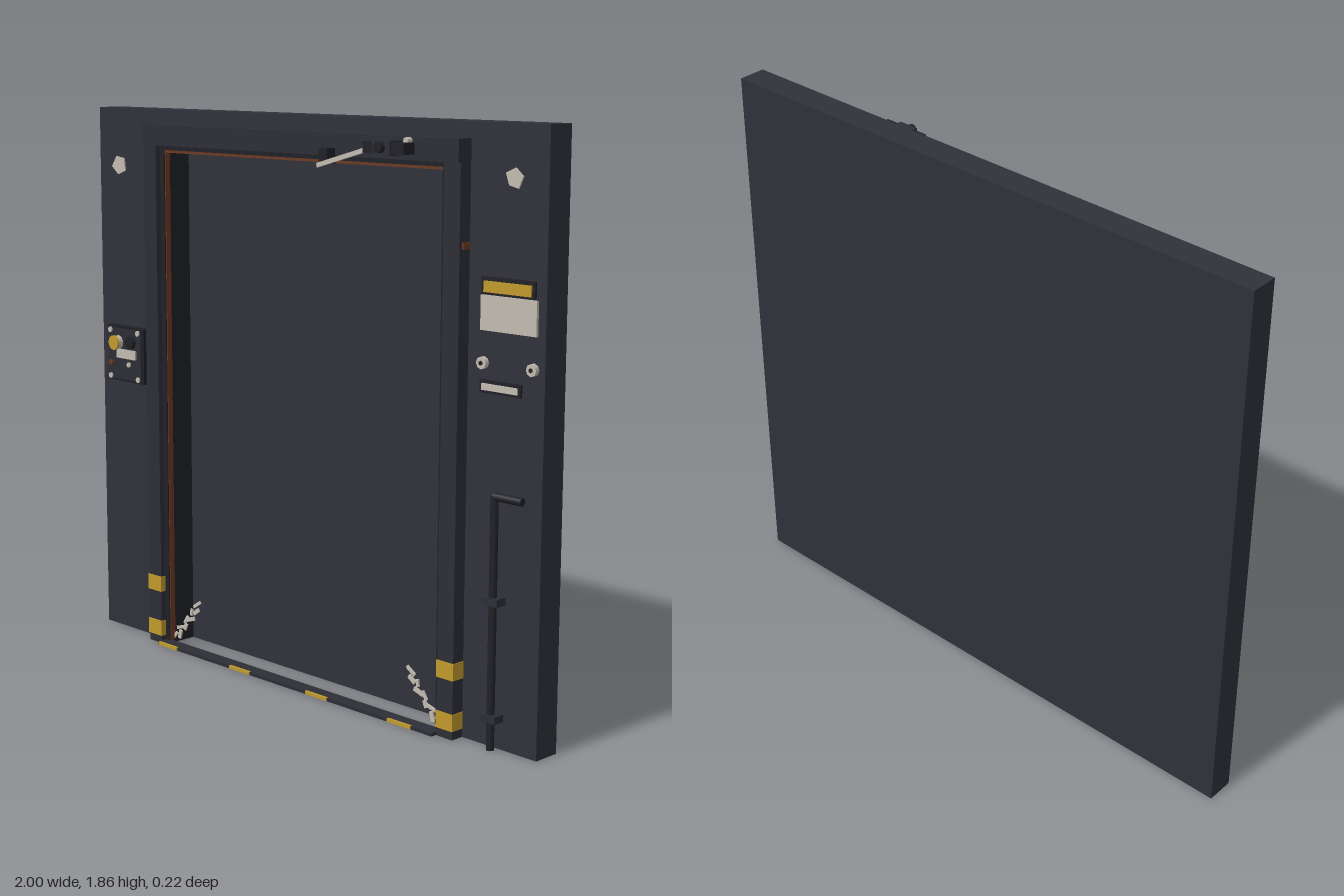
import * as THREE from 'three';

const mat = (name, color) => {
  const m = new THREE.MeshStandardMaterial({ color });
  m.name = name;
  return m;
};

export function createModel() {
  const root = new THREE.Group();
  root.name = 'doorwayWall';
  const wall = mat('wallCharcoal', 0x30313a);
  const steel = mat('frameSteel', 0x2d2e36);
  const dark = mat('darkMetal', 0x202127);
  const yellow = mat('warningYellow', 0xc09a2c);
  const pale = mat('paleGrey', 0xc2bbb0);
  const rust = mat('rustBrown', 0x6b3a22);

  const add = (name, geo, m, x = 0, y = 0, z = 0) => {
    const mesh = new THREE.Mesh(geo, m);
    mesh.name = name;
    mesh.position.set(x, y, z);
    root.add(mesh);
    return mesh;
  };
  // Box given by its limits on each axis
  const box = (name, m, x0, x1, y0, y1, z0, z1) =>
    add(name, new THREE.BoxGeometry(x1 - x0, y1 - y0, z1 - z0), m,
      (x0 + x1) / 2, (y0 + y1) / 2, (z0 + z1) / 2);
  // Disc or knob whose axis points forward
  const disc = (name, m, x, y, r, z0, z1, n = 16) =>
    add(name, new THREE.CylinderGeometry(r, r, z1 - z0, n).rotateX(Math.PI / 2), m, x, y, (z0 + z1) / 2);

  // Wall: side slabs, lintel and the thin panel closing the back
  const front = -0.015, back = -0.108, inner = -0.098;
  box('wallRight', wall, -1, -0.63, 0, 1.855, inner, front);
  box('wallLeft', wall, 0.63, 1, 0, 1.855, inner, front);
  box('wallLintel', wall, -0.63, 0.63, 1.735, 1.855, inner, front);
  box('backPanel', wall, -1, 1, 0, 1.855, back, inner);

  // Door frame, mirrored
  for (const s of [-1, 1]) {
    const side = (name, m, a, b, ...rest) => box(name, m, Math.min(s * a, s * b), Math.max(s * a, s * b), ...rest);
    side('framePost', steel, 0.647, 0.711, 0, 1.74, front, 0.03);
    side('innerJamb', dark, 0.626, 0.648, 0, 1.738, inner, 0.012);
    side('jambSeal', rust, 0.623, 0.626, 0.012, 1.72, -0.012, 0.008);
    for (const y of [0.027, 0.187])
      side('warningBand', yellow, 0.645, 0.713, y, y + 0.054, front, 0.033);
  }
  box('frameHeader', steel, -0.711, 0.711, 1.738, 1.807, front, 0.04);
  box('innerSoffit', dark, -0.647, 0.647, 1.722, 1.738, inner, 0.012);
  box('soffitSeal', rust, -0.64, 0.64, 1.713, 1.722, -0.012, 0.008);
  box('rustSpot', rust, 0.709, 0.717, 1.488, 1.508, -0.01, 0.02);

  // Sill with yellow dashes along its front edge
  box('sill', steel, -0.645, 0.645, 0, 0.011, 0, 0.05);
  for (const x of [-0.59, -0.22, 0.145, 0.51])
    box('sillDash', yellow, x - 0.049, x + 0.049, 0.001, 0.012, 0.044, 0.053);

  // Door closer: body, pivot knob, arm and bracket
  box('closerBody', dark, 0.375, 0.54, 1.755, 1.79, 0.04, 0.088);
  box('closerCap', steel, 0.42, 0.49, 1.75, 1.795, 0.04, 0.094);
  disc('closerKnob', dark, 0.455, 1.775, 0.017, 0.094, 0.111, 12);
  disc('closerScrew', pale, 0.522, 1.795, 0.01, 0.04, 0.06, 8);
  box('closerBracket', dark, 0.178, 0.213, 1.715, 1.762, 0.038, 0.076);
  const arm = add('closerArm', new THREE.BoxGeometry(0.225, 0.014, 0.01), pale, 0.288, 1.739, 0.082);
  arm.rotation.z = Math.atan2(0.055, 0.205);

  // Chipped patches on the wall
  const chip = (x, y, r, turn) => {
    const pts = [1, 0.92, 1.05, 0.85, 1].map((k, i) => {
      const a = turn + i * Math.PI * 2 / 5;
      return new THREE.Vector2(Math.cos(a) * r * k, Math.sin(a) * r * k);
    });
    add('wallChip', new THREE.ExtrudeGeometry(new THREE.Shape(pts), { depth: 0.005, bevelEnabled: false }), pale, x, y, front);
  };
  chip(-0.893, 1.658, 0.037, 0.75);
  chip(0.877, 1.7, 0.033, 0.2);

  // Control box
  box('controlBoxRim', dark, -0.947, -0.754, 0.904, 1.1, front, 0.006);
  box('controlBoxFace', steel, -0.938, -0.763, 0.913, 1.091, front, 0.013);
  for (const x of [-0.925, -0.776])
    for (const y of [0.92, 1.083]) disc('controlScrew', pale, x, y, 0.01, 0.01, 0.018, 8);
  disc('buttonCollar', pale, -0.882, 1.043, 0.024, 0.013, 0.032);
  disc('yellowButton', yellow, -0.882, 1.043, 0.026, 0.032, 0.038);
  disc('darkButton', dark, -0.81, 1.048, 0.022, 0.013, 0.028);
  box('controlLabel', pale, -0.888, -0.786, 0.988, 1.02, 0.013, 0.019);
  disc('paleLamp', pale, -0.824, 0.968, 0.009, 0.013, 0.02, 8);
  disc('rustLamp', rust, -0.92, 0.968, 0.01, 0.013, 0.02, 8);

  // Notice boards and bolts
  box('signBacking', dark, 0.763, 0.963, 1.362, 1.414, front, -0.008);
  box('yellowSign', yellow, 0.775, 0.952, 1.369, 1.402, -0.008, -0.003);
  box('noticePlate', pale, 0.763, 0.972, 1.257, 1.36, front, -0.006);
  box('stripBacking', dark, 0.763, 0.918, 1.073, 1.112, front, -0.008);
  box('labelStrip', pale, 0.773, 0.908, 1.082, 1.102, -0.008, -0.003);
  for (const x of [0.773, 0.96]) {
    disc('boltHead', pale, x, 1.161, 0.019, front, 0, 8);
    disc('boltSocket', dark, x, 1.161, 0.007, 0, 0.003, 6);
  }

  // Conduit with elbow and clamps
  const r = 0.0125, px = 0.842, pz = 0.008;
  add('conduitRiser', new THREE.CylinderGeometry(r, r, 0.776, 10), dark, px, 0.388, pz);
  add('conduitElbow', new THREE.SphereGeometry(r, 10, 8), dark, px, 0.776, pz);
  add('conduitBranch', new THREE.CylinderGeometry(r, r, 0.105, 10).rotateZ(Math.PI / 2), dark, px + 0.0525, 0.776, pz);
  for (const y of [0.1, 0.46])
    box('conduitClamp', steel, px - 0.029, px + 0.029, y - 0.012, y + 0.012, front, 0.024);

  // Ragged pale flakes climbing from the lower corners of the opening
  for (const s of [-1, 1])
    for (let i = 0; i < 9; i++) {
      const t = i / 8, off = (i % 2 ? 1 : -1) * 0.005;
      const flake = add('cornerFlake',
        new THREE.BoxGeometry(0.024 + 0.008 * (i % 3), 0.011 + 0.003 * (i % 2), 0.006), pale,
        s * (-0.613 + 0.115 * t + off), 0.025 + 0.132 * t - off, -0.01);
      flake.rotation.z = s * (0.85 + 0.6 * Math.sin(i * 2.3));
    }

  return root;
}
